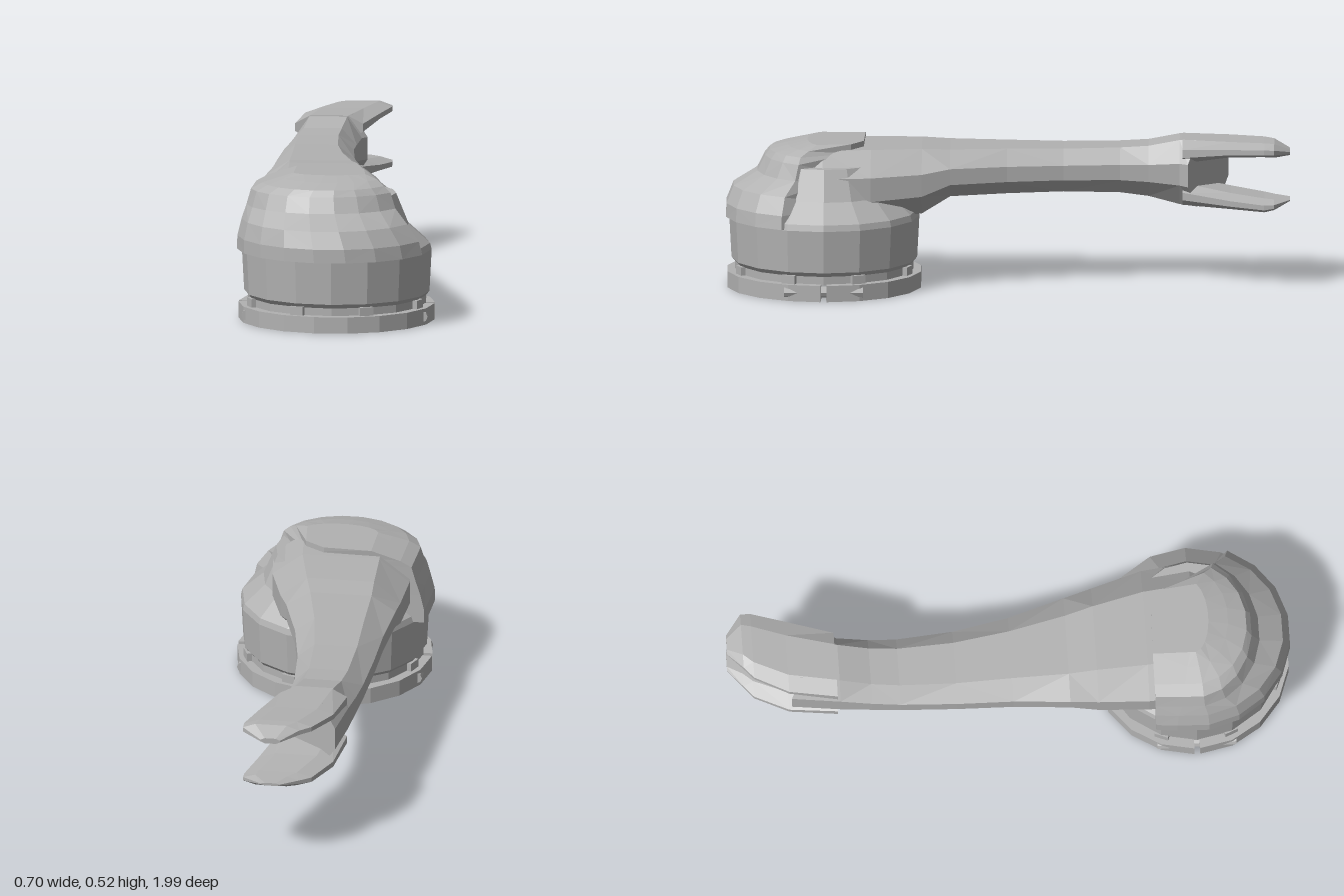
import * as THREE from 'three';

const grey = new THREE.MeshStandardMaterial({ color: 0xb2b2b2 });
grey.name = 'warm grey shell';
const CZ = 0.645; // z of the round joint's axis
const V = (x, y, z) => new THREE.Vector3(x, y, z);

// Joins rings of equal point count into a closed, faceted solid.
function loft(name, rings) {
  let tris = [];
  const n = rings[0].length;
  for (let i = 0; i < rings.length - 1; i++) {
    for (let j = 0; j < n; j++) {
      const k = (j + 1) % n, a = rings[i], b = rings[i + 1];
      if ((i + j) % 2) tris.push([a[j], a[k], b[k]], [a[j], b[k], b[j]]);
      else tris.push([a[j], a[k], b[j]], [a[k], b[k], b[j]]);
    }
  }
  const cap = (ring, flip) => {
    const c = ring.reduce((s, p) => s.add(p), V(0, 0, 0)).divideScalar(n);
    ring.forEach((p, j) => {
      const q = ring[(j + 1) % n];
      tris.push(flip ? [c, q, p] : [c, p, q]);
    });
  };
  cap(rings[0], true);
  cap(rings[rings.length - 1], false);
  // Keep the faces pointing outward whatever the ring direction.
  const volume = tris.reduce((s, [a, b, c]) => s + a.dot(V(0, 0, 0).crossVectors(b, c)), 0);
  if (volume < 0) tris = tris.map(([a, b, c]) => [a, c, b]);
  const geo = new THREE.BufferGeometry().setFromPoints(tris.flat());
  geo.computeVertexNormals();
  const mesh = new THREE.Mesh(geo, grey);
  mesh.name = name;
  return mesh;
}

// Chamfered rectangle across the arm; skew slants it in z along x.
function section([z, x0, x1, y0, y1, skew = 0]) {
  const cx = (x1 - x0) * 0.22, cy = (y1 - y0) * 0.33, mid = (x0 + x1) / 2;
  return [
    [x0 + cx, y0], [x1 - cx, y0], [x1, y0 + cy], [x1, y1 - cy],
    [x1 - cx, y1], [x0 + cx, y1], [x0, y1 - cy], [x0, y0 + cy],
  ].map(([x, y]) => V(x, y, z + skew * (x - mid)));
}

export function createModel() {
  const model = new THREE.Group();
  model.name = 'armLink';

  // Clamp ring in two halves, with a gap on each side
  for (const side of [0, 1]) {
    const rings = [];
    for (let i = 0; i <= 9; i++) {
      const a = side * Math.PI + 0.03 + (i / 9) * (Math.PI - 0.06);
      rings.push([[0.26, 0], [0.347, 0], [0.347, 0.058], [0.26, 0.058]].map(
        ([r, y]) => V(r * Math.cos(a), y, CZ + r * Math.sin(a))));
    }
    model.add(loft('clampHalf', rings));
  }

  // Clamp screws running front to back beside each gap
  for (const x of [-0.31, 0.31]) {
    const geo = new THREE.CylinderGeometry(0.02, 0.02, 0.28, 8).rotateX(Math.PI / 2).toNonIndexed();
    geo.computeVertexNormals();
    const screw = new THREE.Mesh(geo, grey);
    screw.name = 'clampScrew';
    screw.position.set(x, 0.03, CZ);
    model.add(screw);
  }

  // Hollow round socket, neck and sloping shoulder
  const profile = [
    [0.25, 0.13], [0.26, 0.055], [0.315, 0.055], [0.315, 0.085], [0.328, 0.1],
    [0.336, 0.25], [0.33, 0.272], [0.255, 0.34], [0.21, 0.45],
  ];
  model.add(loft('socket', profile.map(([r, y]) => Array.from({ length: 16 }, (_, j) => {
    const a = (j / 16) * Math.PI * 2;
    return V(r * Math.cos(a), y, CZ + r * Math.sin(a));
  }))));

  // Small lugs around the neck
  for (let i = 0; i < 8; i++) {
    const a = ((i + 0.5) / 8) * Math.PI * 2;
    const lug = new THREE.Mesh(new THREE.BoxGeometry(0.03, 0.03, 0.05), grey);
    lug.name = 'neckLug';
    lug.position.set(0.312 * Math.cos(a), 0.073, CZ + 0.312 * Math.sin(a));
    lug.rotation.y = -a;
    model.add(lug);
  }

  // Arm: z, left x, right x, bottom, top, skew
  model.add(loft('arm', [
    [0.8, -0.24, 0.19, 0.26, 0.45],
    [0.65, -0.28, 0.22, 0.25, 0.5],
    [0.48, -0.29, 0.2, 0.25, 0.5],
    [0.3, -0.283, 0.145, 0.265, 0.497],
    [0.2, -0.28, 0.11, 0.322, 0.49],
    [0, -0.265, 0.05, 0.325, 0.485],
    [-0.2, -0.26, 0.012, 0.327, 0.48],
    [-0.4, -0.25, -0.004, 0.322, 0.483],
    [-0.5, -0.24, 0, 0.31, 0.49],
    [-0.61, -0.227, 0.012, 0.283, 0.513],
    [-0.71, -0.205, 0.03, 0.278, 0.514, 0.6],
  ].map(section)));

  // Fork prongs above and below the far joint
  model.add(loft('upperProng', [
    [-0.62, -0.225, 0.015, 0.43, 0.515],
    [-0.79, -0.2, 0.065, 0.46, 0.515],
    [-0.91, -0.14, 0.1, 0.468, 0.518],
    [-0.945, -0.1, 0.1, 0.468, 0.517],
    [-1, -0.04, 0.03, 0.47, 0.49],
  ].map(section)));
  model.add(loft('lowerProng', [
    [-0.62, -0.225, 0.015, 0.281, 0.36],
    [-0.79, -0.2, 0.065, 0.274, 0.332],
    [-0.91, -0.14, 0.1, 0.27, 0.32],
    [-0.945, -0.1, 0.1, 0.28, 0.318],
    [-1, -0.04, 0.03, 0.305, 0.315],
  ].map(section)));

  // Elbow hood: y, centre x, half width, front depth
  model.add(loft('elbowHood', [
    [0.252, -0.005, 0.348, 0.352],
    [0.3, -0.01, 0.342, 0.35],
    [0.36, -0.025, 0.312, 0.325],
    [0.41, -0.04, 0.28, 0.24],
    [0.465, -0.042, 0.262, 0.212],
    [0.487, -0.035, 0.228, 0.195],
    [0.505, -0.02, 0.185, 0.13],
    [0.52, -0.02, 0.135, 0.06],
  ].map(([y, cx, rx, rz]) => {
    const ring = [];
    for (let i = 0; i <= 9; i++) {
      const a = THREE.MathUtils.degToRad(25 + i * 18.5);
      ring.push(V(cx + rx * Math.cos(a), y, CZ + rz * Math.sin(a)));
    }
    // Rear edge, which sits on top of the arm
    ring.push(V(cx - rx * 0.96, y, 0.5), V(0.02, y, 0.505), V(0.09, y, 0.55));
    return ring;
  })));

  return model;
}
